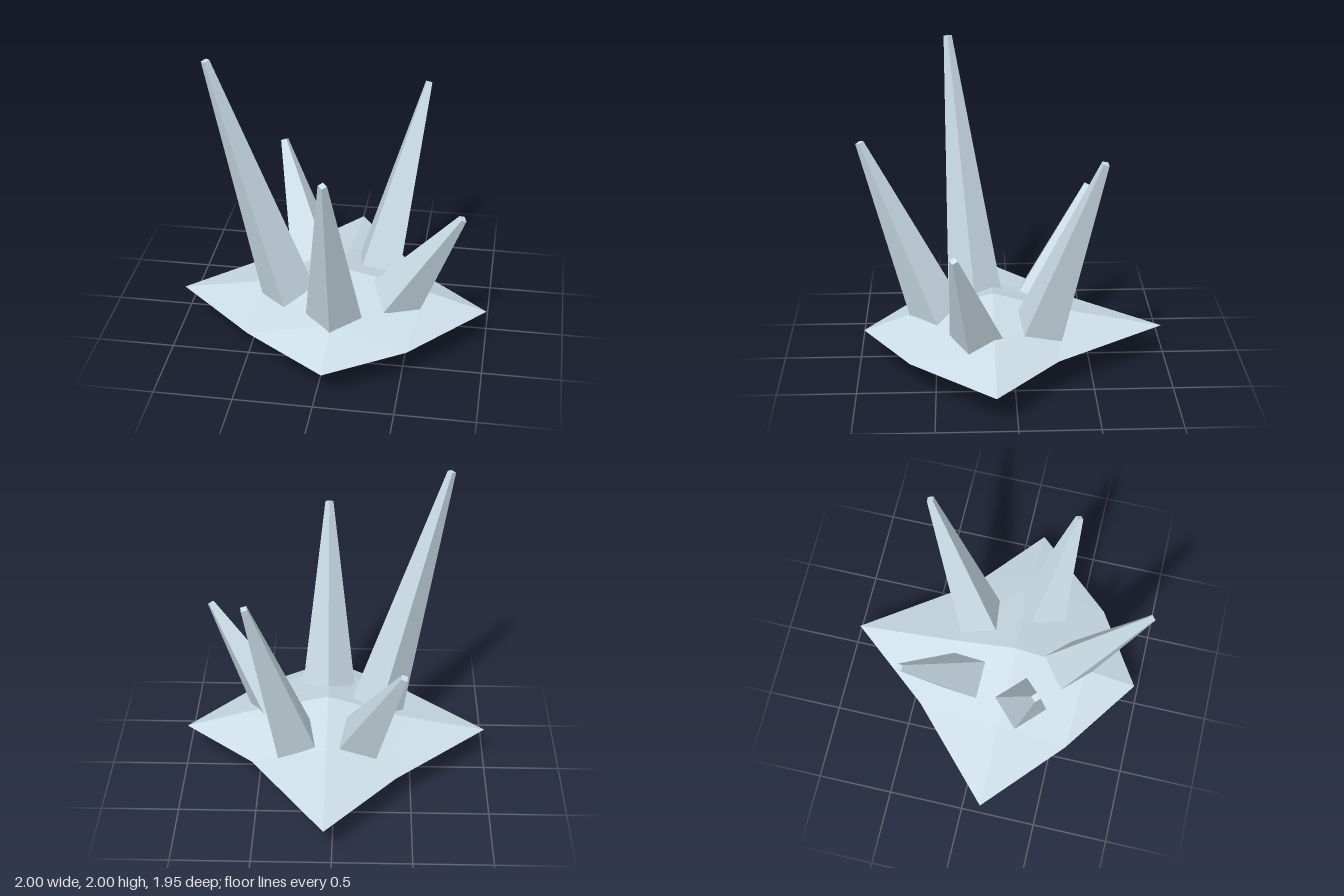
import * as THREE from 'three';

const material = new THREE.MeshStandardMaterial({ color: 0xcadce6, flatShading: true });
const UP = new THREE.Vector3(0, 1, 0);

// Faceted rock: an octahedron split once, with its edge midpoints pushed around
function createBase() {
  const y = 0.22, cx = 0.05, cz = 0.13;
  // Rings run +x, -z, -x, +z
  const corner = [[1, y, cz], [cx, y, -0.975], [-1, y, cz], [cx, y, 0.97]];
  const between = [[0.537, y, -0.27], [-0.4, y, -0.43], [-0.48, y, 0.6], [0.537, y, 0.658]];
  const upper = [[0.6, 0.34, cz], [cx, 0.35, -0.31], [-0.45, 0.32, cz], [cx, 0.345, 0.62]];
  const lower = [[0.6, 0.105, cz], [cx, 0.1, -0.24], [-0.48, 0.11, cz], [cx, 0.11, 0.55]];
  const positions = [];

  const addHalf = (apex, mids, flip) => {
    for (let i = 0; i < 4; i++) {
      const j = (i + 1) % 4;
      const faces = [
        [apex, mids[i], mids[j]],
        [mids[i], between[i], mids[j]],
        [mids[i], corner[i], between[i]],
        [mids[j], between[i], corner[j]],
      ];
      for (const [a, b, c] of faces) positions.push(...a, ...(flip ? c : b), ...(flip ? b : c));
    }
  };
  addHalf([cx, 0.47, cz], upper, false);
  addHalf([cx, 0, cz], lower, true);

  const geometry = new THREE.BufferGeometry();
  geometry.setAttribute('position', new THREE.Float32BufferAttribute(positions, 3));
  geometry.computeVertexNormals();
  const base = new THREE.Mesh(geometry, material);
  base.name = 'base';
  return base;
}

// Four-sided tapered spike from foot to tip, twisted about its own axis (degrees)
function createSpike(name, foot, tip, twist) {
  const start = new THREE.Vector3(...foot);
  const axis = new THREE.Vector3(...tip).sub(start);
  const length = axis.length();
  const geometry = new THREE.CylinderGeometry(0.027, 0.178, length, 4);
  geometry.translate(0, length / 2, 0);
  geometry.rotateY(-THREE.MathUtils.degToRad(twist));
  const spike = new THREE.Mesh(geometry, material);
  spike.quaternion.setFromUnitVectors(UP, axis.normalize());
  spike.position.copy(start);
  spike.name = name;
  return spike;
}

export function createModel() {
  const model = new THREE.Group();
  model.name = 'spikeCluster';
  model.add(createBase());

  const footY = 0.335;
  const spikes = [
    ['tallSpike', [-0.28, footY, 0.243], [-0.72, 1.99, 0.4], 0],
    ['frontSpike', [0.055, footY, 0.49], [0.062, 1.515, 0.95], 0],
    ['leftSpike', [0.414, footY, 0.24], [0.83, 1.04, 0.375], 17],
    ['backLeftSpike', [0.265, footY, -0.165], [0.525, 1.52, -0.533], 36],
    ['backRightSpike', [-0.171, footY, -0.168], [-0.433, 1.04, -0.515], 52],
  ];
  for (const spike of spikes) model.add(createSpike(...spike));
  return model;
}
